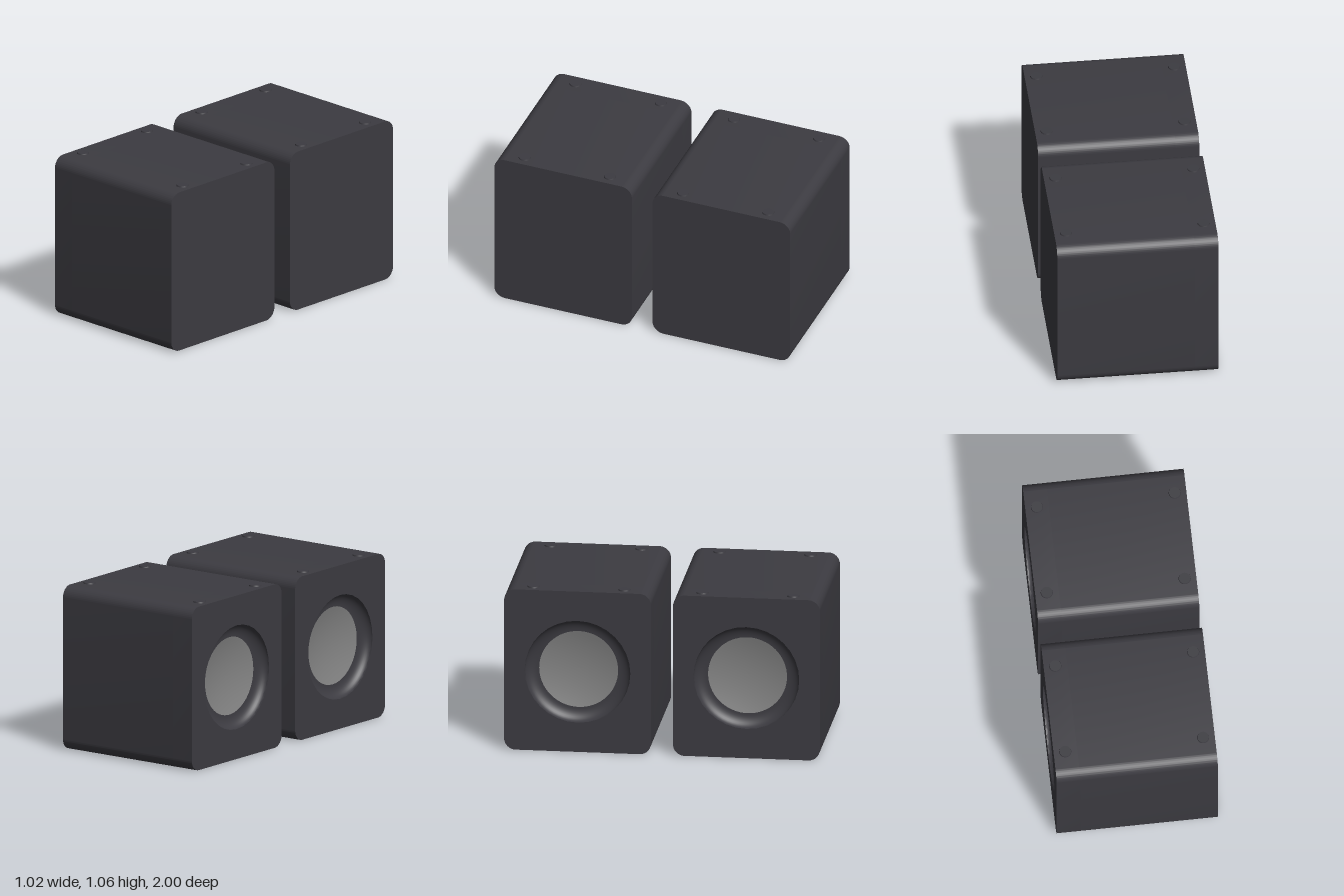
import * as THREE from 'three';
import { toCreasedNormals } from 'three/addons/utils/BufferGeometryUtils.js';

const W = 1.02, H = 1.055, D = 0.93, R = 0.073; // cabinet size and corner radius
const HOLE = 0.335, FRONT = 0.15;               // driver opening and front section depth

// Rounded cabinet cross-section, centred on the origin
function cabinetShape() {
  const x = D / 2, y = H / 2, s = new THREE.Shape();
  s.moveTo(-x + R, -y);
  s.absarc(x - R, -y + R, R, -Math.PI / 2, 0);
  s.absarc(x - R, y - R, R, 0, Math.PI / 2);
  s.absarc(-x + R, y - R, R, Math.PI / 2, Math.PI);
  s.absarc(-x + R, -y + R, R, Math.PI, Math.PI * 1.5);
  return s;
}

// Extrude a section along x, starting at the given x
function section(shape, x, depth) {
  const g = new THREE.ExtrudeGeometry(shape, { depth, bevelEnabled: false, curveSegments: 16 });
  g.rotateY(Math.PI / 2);
  g.translate(x, 0, 0);
  return toCreasedNormals(g, 0.6);
}

// Turned part from [radius, height] points
const turned = (pts) => new THREE.LatheGeometry(pts.map(([r, h]) => new THREE.Vector2(r, h)), 64);

export function createModel() {
  const dark = new THREE.MeshStandardMaterial({ color: 0x3c3b41 });
  dark.name = 'charcoal';
  const grey = new THREE.MeshStandardMaterial({ color: 0x848484 });
  grey.name = 'cone grey';

  const add = (parent, name, geometry, material) => {
    const m = new THREE.Mesh(geometry, material);
    m.name = name;
    parent.add(m);
    return m;
  };

  // Cabinet: solid rear section and a front section with a round opening
  const rearGeo = section(cabinetShape(), -W / 2 + FRONT, W - FRONT);
  const frontShape = cabinetShape();
  const hole = new THREE.Path();
  hole.absarc(0, 0, HOLE, 0, Math.PI * 2, true);
  frontShape.holes.push(hole);
  const frontGeo = section(frontShape, -W / 2, FRONT);

  // Curved surround sinking into the opening
  const surround = [];
  for (let i = 0; i <= 10; i++) {
    const a = (i / 10) * Math.PI / 2;
    surround.push([HOLE - 0.085 * (1 - Math.cos(a)), -0.06 * Math.sin(a)]);
  }
  const surroundGeo = turned(surround);

  // Shallow concave cone
  const cone = [];
  for (let i = 0; i <= 10; i++) {
    const r = 0.252 * (1 - i / 10);
    cone.push([r, -0.09 + 0.03 * (r / 0.252) ** 2]);
  }
  const coneGeo = turned(cone);

  const footGeo = new THREE.CylinderGeometry(0.036, 0.039, 0.01, 32);

  const model = new THREE.Group();
  model.name = 'speakerPair';
  for (const side of [1, -1]) {
    const speaker = new THREE.Group();
    speaker.name = side > 0 ? 'frontSpeaker' : 'backSpeaker';
    speaker.position.set(0, H / 2, side * 0.535);
    add(speaker, 'cabinetRear', rearGeo, dark);
    add(speaker, 'cabinetFront', frontGeo, dark);

    const driver = new THREE.Group();
    driver.name = 'driver';
    driver.position.x = -W / 2;
    driver.rotation.z = Math.PI / 2;
    add(driver, 'surround', surroundGeo, dark);
    add(driver, 'cone', coneGeo, grey);
    speaker.add(driver);

    // Round pads near the corners of the top
    for (const x of [-0.436, 0.436]) {
      for (const z of [-0.288, 0.288]) {
        add(speaker, 'pad', footGeo, dark).position.set(x, H / 2 + 0.003, z);
      }
    }
    model.add(speaker);
  }
  return model;
}
